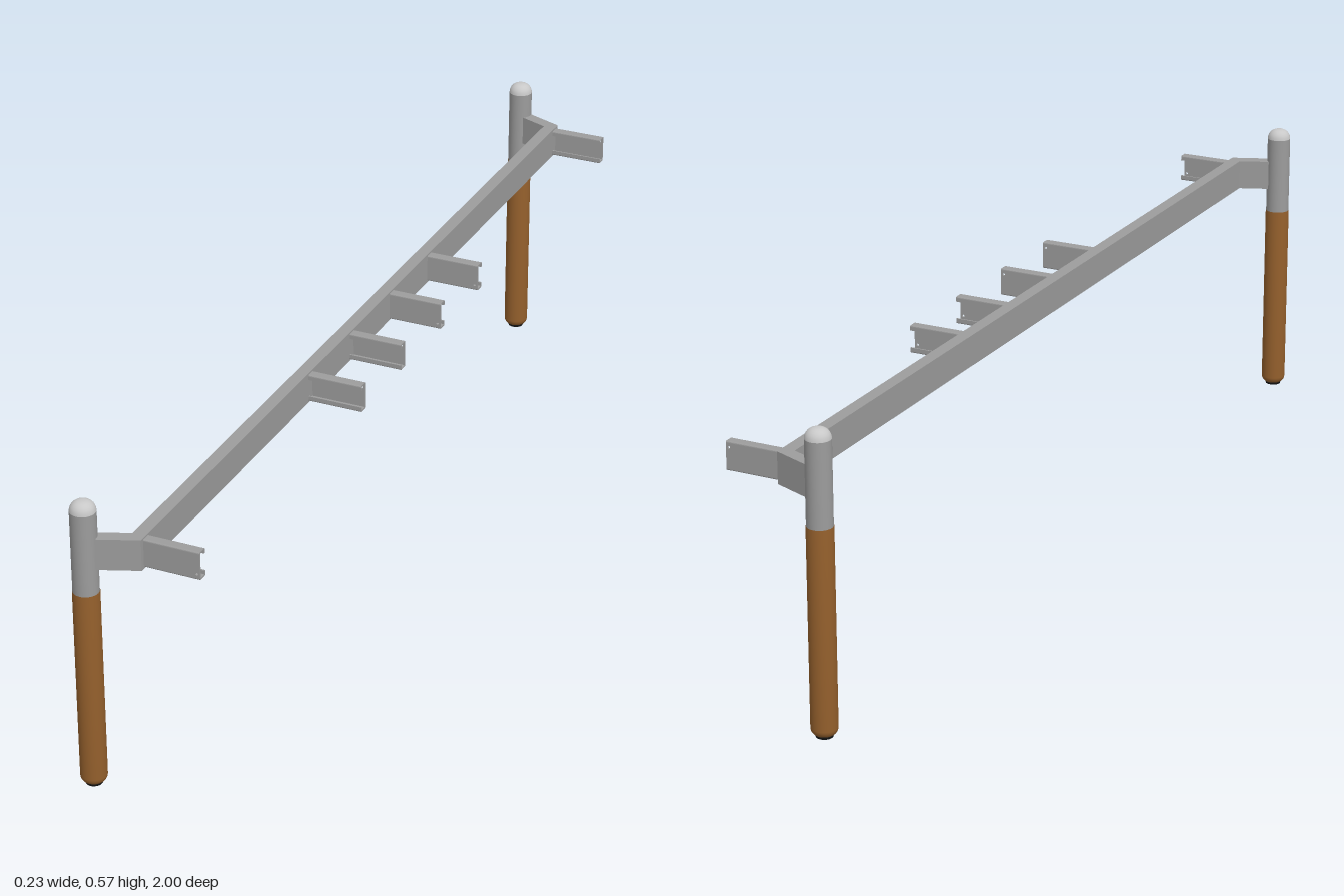
import * as THREE from 'three';

const steel = new THREE.MeshStandardMaterial({ name: 'galvanised steel', color: 0x9c9c9c });
const capGrey = new THREE.MeshStandardMaterial({ name: 'light grey cap', color: 0xc8c8c8 });
const wood = new THREE.MeshStandardMaterial({ name: 'brown wood', color: 0x935f2c });
const black = new THREE.MeshStandardMaterial({ name: 'black foot', color: 0x141414 });

const POST_X = -0.09, POST_Z = 0.9755;

function add(parent, name, geometry, material) {
  const mesh = new THREE.Mesh(geometry, material);
  mesh.name = name;
  parent.add(mesh);
  return mesh;
}

function lathe(points) {
  return new THREE.LatheGeometry(points.map(([r, y]) => new THREE.Vector2(r, y)), 32);
}

// Quarter-round profile from (r, y) curving in by c; dir = 1 upwards, -1 downwards
function roundEnd(r, y, c, dir) {
  return Array.from({ length: 7 }, (_, i) => {
    const a = (i / 6) * Math.PI / 2;
    return [r - c + c * Math.cos(a), y + dir * c * Math.sin(a)];
  });
}

// Horizontal plan (x, z) extruded upwards from y0
function plan(points, y0, height) {
  const shape = new THREE.Shape(points.map(([x, z]) => new THREE.Vector2(x, -z)));
  const g = new THREE.ExtrudeGeometry(shape, { depth: height, bevelEnabled: false });
  return g.rotateX(-Math.PI / 2).translate(0, y0, 0);
}

function makePost() {
  const post = new THREE.Group();
  add(post, 'foot', new THREE.CylinderGeometry(0.0165, 0.0155, 0.004, 32).translate(0, 0.002, 0), black);
  const lower = roundEnd(0.0245, 0.018, 0.015, -1).reverse();
  add(post, 'woodenLeg', lathe([[0, 0.003], ...lower, [0.0245, 0.395], [0, 0.395]]), wood);
  add(post, 'steelSleeve', new THREE.CylinderGeometry(0.0237, 0.0237, 0.159, 32, 1, true)
    .translate(0, 0.4745, 0), steel);
  add(post, 'cap', lathe([...roundEnd(0.0237, 0.554, 0.02, 1), [0, 0.574]]), capGrey);
  return post;
}

// Lipped C-channel pointing along +x, open towards local -z
function makeBracket() {
  const bracket = new THREE.Group();
  const x0 = 0.005, x1 = 0.113, y0 = 0.447, y1 = 0.501, w = 0.01, t = 0.003, lip = 0.01;

  // web with a small bolt hole near the free end
  const web = new THREE.Shape();
  web.moveTo(x0, y0 + t).lineTo(x1, y0 + t).lineTo(x1, y1 - t).lineTo(x0, y1 - t).closePath();
  const hole = new THREE.Path();
  hole.absarc(0.107, 0.458, 0.0025, 0, Math.PI * 2, true);
  web.holes.push(hole);
  add(bracket, 'bracketWeb', new THREE.ExtrudeGeometry(web, { depth: t, bevelEnabled: false, curveSegments: 8 })
    .translate(0, 0, w - t), steel);

  // flange with rounded outer corners and a turned-in lip, top and bottom
  const c = 0.003;
  const mid = (y0 + y1) / 2, h = (y1 - y0) / 2;
  for (const s of [1, -1]) {
    const f = new THREE.Shape();
    f.moveTo(w, h - t);
    f.quadraticCurveTo(w, h, w - c, h);
    f.lineTo(-w + c, h);
    f.quadraticCurveTo(-w, h, -w, h - c);
    f.lineTo(-w, h - lip).lineTo(-w + t, h - lip).lineTo(-w + t, h - t).closePath();
    const g = new THREE.ExtrudeGeometry(f, { depth: x1 - x0, bevelEnabled: false, curveSegments: 4 });
    const flange = add(bracket, s > 0 ? 'upperFlange' : 'lowerFlange', g, steel);
    // section runs (z, y), length runs along x
    g.rotateY(-Math.PI / 2).translate(x1, 0, 0);
    if (s < 0) g.rotateX(Math.PI).scale(1, 1, 1);
    flange.position.y = mid;
    if (s < 0) {
      // the half turn also swapped z: swap it back by a half turn about y
      g.rotateY(Math.PI).translate(x0 + x1, 0, 0);
    }
  }
  return bracket;
}

export function createModel() {
  const model = new THREE.Group();
  model.name = 'rail';

  // main beam with mitred ends
  const xi = -0.019, xo = 0.006, zi = 0.9336, zo = 0.9504;
  add(model, 'beam', plan([[xi, -zi], [xi, zi], [xo, zo], [xo, -zo]], 0.444, 0.06), steel);

  for (const s of [1, -1]) {
    const post = makePost();
    post.name = s > 0 ? 'frontPost' : 'backPost';
    post.position.set(POST_X, 0, s * POST_Z);
    model.add(post);

    // angled arm joining the beam to the post
    const arm = [[xi, zi], [-0.085, 0.9605], [-0.094, 0.9838], [-0.085, 0.9875], [xo, zo]];
    add(model, s > 0 ? 'frontArm' : 'backArm',
      plan(arm.map(([x, z]) => [x, s * z]), 0.444, 0.06), steel);
  }

  // brackets: position along the beam and the side their web faces
  const brackets = [[0.932, 1], [0.275, -1], [0.093, -1]];
  for (const s of [1, -1]) {
    for (const [z, side] of brackets) {
      const b = makeBracket();
      b.name = 'bracket';
      if (s * side < 0) {
        // turn over about the x axis through the bracket's mid height
        b.rotation.x = Math.PI;
        b.position.y = 0.948;
      }
      b.position.z = s * z;
      model.add(b);
    }
  }
  return model;
}
